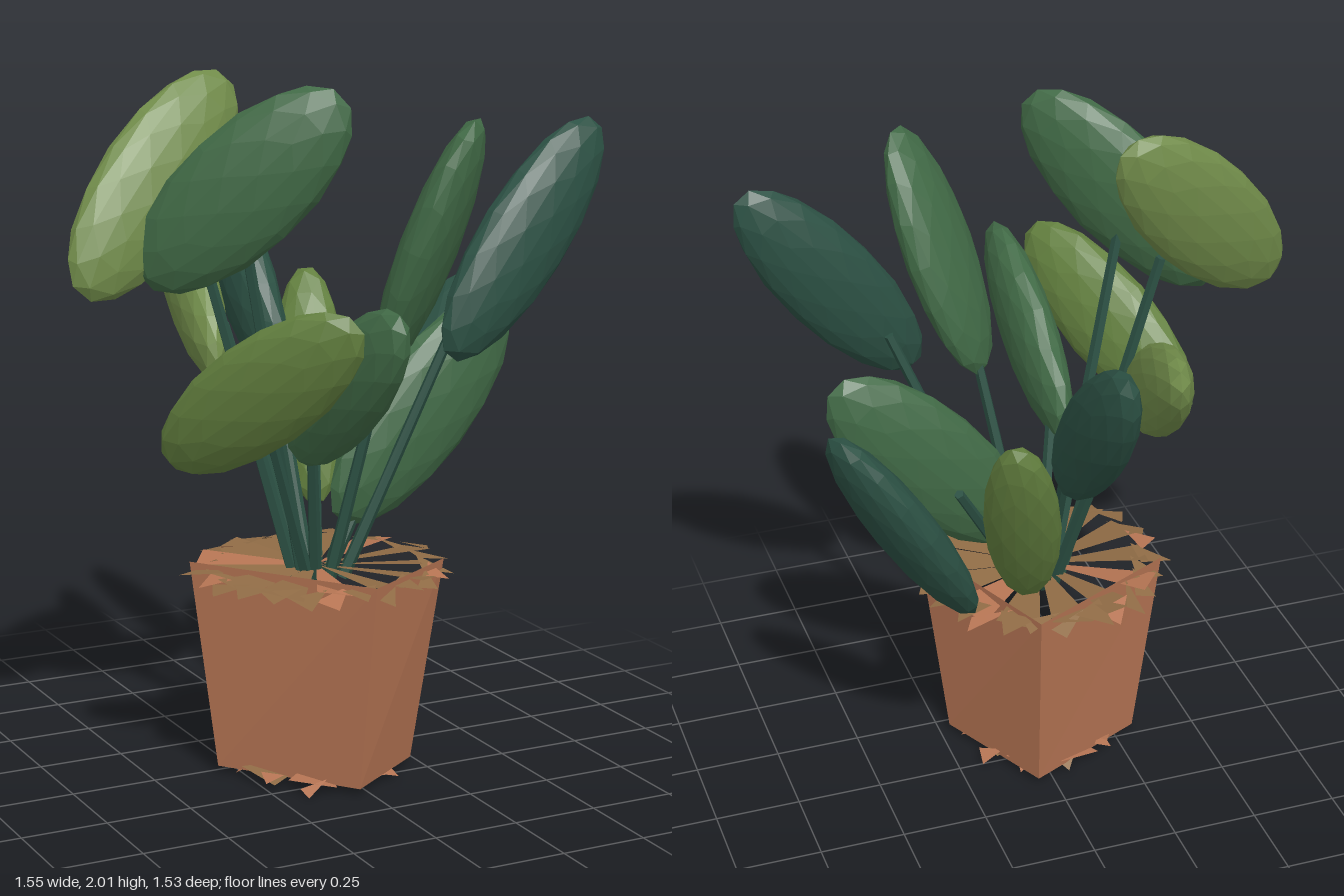
import * as THREE from 'three';

const V = (x, y, z) => new THREE.Vector3(x, y, z);
const mat = (color, side = THREE.FrontSide) => new THREE.MeshStandardMaterial({ color, flatShading: true, side });
const OLIVE = 0x718c4a, MOSS = 0x63803f, GREEN = 0x416a46, TEAL = 0x2c5144, CLAY = 0xb57453, SOIL = 0x8f6b45;
const CX = -0.04, CZ = 0.11;

// Small seeded generator for the shards
let seed = 7;
const rnd = () => (seed = (seed * 16807) % 2147483647) / 2147483647;

// Mesh from a list of triangle corners
function triMesh(name, pts, material) {
  const g = new THREE.BufferGeometry().setFromPoints(pts);
  g.computeVertexNormals();
  const m = new THREE.Mesh(g, material);
  m.name = name;
  return m;
}

// Pot corners [x, z], counterclockwise from above
const RIM = [[-0.035, 0.47], [0.28, 0.28], [0.07, -0.23], [-0.38, -0.01]];
const FOOT = [[-0.035, 0.375], [0.22, 0.2], [0.05, -0.15], [-0.31, 0.02]];

function pot() {
  const group = new THREE.Group();
  group.name = 'pot';
  const walls = [], base = [];
  const at = (o, i, y) => V(o[i % 4][0], y, o[i % 4][1]);
  for (let i = 0; i < 4; i++) {
    const a = at(FOOT, i, 0.01), b = at(FOOT, i + 1, 0.01);
    const c = at(RIM, i + 1, 0.62), d = at(RIM, i, 0.62);
    walls.push(a, b, c, a, c, d);
    // Base wedges with narrow gaps
    const mid = a.clone().lerp(b, 0.5), hub = V(CX, 0.01, CZ);
    base.push(hub, mid.clone().lerp(a, 0.1), a.clone().lerp(mid, 0.08));
    base.push(hub, b.clone().lerp(mid, 0.08), mid.clone().lerp(b, 0.1));
  }
  group.add(triMesh('potWalls', walls, mat(CLAY)), triMesh('potBase', base, mat(CLAY)));
  return group;
}

// Cracked round disc: wedges from the middle plus loose tilted shards at the edge
function crackedDisc(name, y, radius, wedges, shards, colors) {
  const group = new THREE.Group();
  group.name = name;
  const polar = (t, r, h) => V(CX + Math.cos(t) * r, h, CZ + Math.sin(t) * r);
  const lists = colors.map(() => []);
  for (let i = 0; i < wedges; i++) {
    const step = Math.PI * 2 / wedges, t = i * step + 0.2;
    const r = radius * (0.82 + rnd() * 0.16);
    lists[i % 4 === 3 ? 1 : 0].push(V(CX, y, CZ), polar(t, r, y - 0.01), polar(t + step * 0.78, r, y + 0.01));
  }
  for (let i = 0; i < shards; i++) {
    const t = i / shards * Math.PI * 2, h = y - rnd() * 0.03;
    lists[i % 5 === 2 ? 1 : 0].push(
      polar(t, radius * (0.72 + rnd() * 0.15), y + 0.01),
      polar(t + 0.1 + rnd() * 0.2, radius * (0.98 + rnd() * 0.1), h),
      polar(t + 0.35, radius * (0.8 + rnd() * 0.15), h + 0.015));
  }
  lists.forEach((pts, i) => group.add(triMesh(name + 'Pieces', pts, mat(colors[i], THREE.DoubleSide))));
  return group;
}

// Faceted blade between two ends, flat across the given normal
const bladeGeo = new THREE.IcosahedronGeometry(1, 2);
function blade(from, to, width, normal, color) {
  const d = to.clone().sub(from), len = d.length();
  d.normalize();
  const n = normal.clone().addScaledVector(d, -normal.dot(d)).normalize();
  const w = d.clone().cross(n);
  const m = new THREE.Mesh(bladeGeo, mat(color));
  m.name = 'leafBlade';
  m.position.copy(from).lerp(to, 0.5);
  m.quaternion.setFromRotationMatrix(new THREE.Matrix4().makeBasis(w, d, n));
  m.scale.set(width / 2, len / 2 + 0.015, 0.075);
  return m;
}

// Straight five-sided stalk, rising from near the middle of the soil
function stalk(top) {
  const foot = V(CX + (top.x - CX) * 0.18, 0.56, CZ + (top.z - CZ) * 0.18);
  const d = top.clone().sub(foot);
  const m = new THREE.Mesh(new THREE.CylinderGeometry(0.015, 0.02, d.length(), 5), mat(TEAL));
  m.name = 'stalk';
  m.position.copy(foot).lerp(top, 0.5);
  m.quaternion.setFromUnitVectors(V(0, 1, 0), d.normalize());
  return m;
}

export function createModel() {
  const model = new THREE.Group();
  model.name = 'pottedPlant';
  model.add(pot(),
    crackedDisc('soil', 0.6, 0.37, 13, 26, [SOIL, CLAY]),
    crackedDisc('footChips', 0.02, 0.24, 8, 10, [CLAY, SOIL]));

  // Lower end, upper end, blade width, blade normal, colour, stalk top
  const addLeaf = (from, to, width, normal, color, top) => {
    const g = new THREE.Group();
    g.name = 'leaf';
    g.add(blade(from, to, width, normal, color), stalk(top));
    model.add(g);
  };

  // Tall leaves
  addLeaf(V(-0.735, 1.44, 0.11), V(-0.245, 1.97, -0.05), 0.33, V(0.1, 0.22, 1), OLIVE, V(-0.38, 1.58, 0.05));
  addLeaf(V(-0.55, 1.46, 0.11), V(-0.12, 1.95, 0.41), 0.34, V(-0.55, 0.05, 0.85), GREEN, V(-0.32, 1.62, 0.22));
  addLeaf(V(0.08, 1.19, 0.28), V(0.26, 1.88, 0.47), 0.29, V(0.65, -0.39, 0.65), GREEN, V(0.1, 1.27, 0.28));
  addLeaf(V(0.27, 1.22, 0.33), V(0.75, 1.83, 0.28), 0.28, V(0.05, 0.05, 1), TEAL, V(0.36, 1.36, 0.25));

  // Low leaves at the left and front
  addLeaf(V(0.27, 0.68, -0.17), V(0.65, 1.33, -0.23), 0.27, V(0.75, -0.5, -0.4), TEAL, V(0.26, 1, -0.07));
  addLeaf(V(0.04, 0.73, 0.11), V(0.555, 1.3, 0.1), 0.33, V(0, 0, 1), GREEN, V(0.15, 0.87, 0.11));
  addLeaf(V(-0.15, 0.97, 0.2), V(-0.11, 1.4, 0.74), 0.29, V(1, 0, 0), GREEN, V(-0.13, 1.02, 0.26));
  addLeaf(V(-0.53, 0.98, 0.21), V(-0.22, 1.4, 0.69), 0.3, V(0.65, 0.25, -0.6), MOSS, V(-0.25, 1.02, 0.25));

  // Leaves at the back
  addLeaf(V(-0.3, 1.17, 0.01), V(-0.18, 1.56, -0.61), 0.26, V(1, 0, 0.2), OLIVE, V(-0.19, 1.26, -0.18));
  addLeaf(V(0, 1.08, -0.21), V(0.01, 1.64, -0.74), 0.27, V(1, 0, 0), TEAL, V(0, 1.13, -0.24));
  addLeaf(V(0.1, 0.71, -0.17), V(0.21, 1.34, -0.46), 0.22, V(0.5, -0.4, -0.7), MOSS, V(0.1, 0.95, -0.18));
  return model;
}
